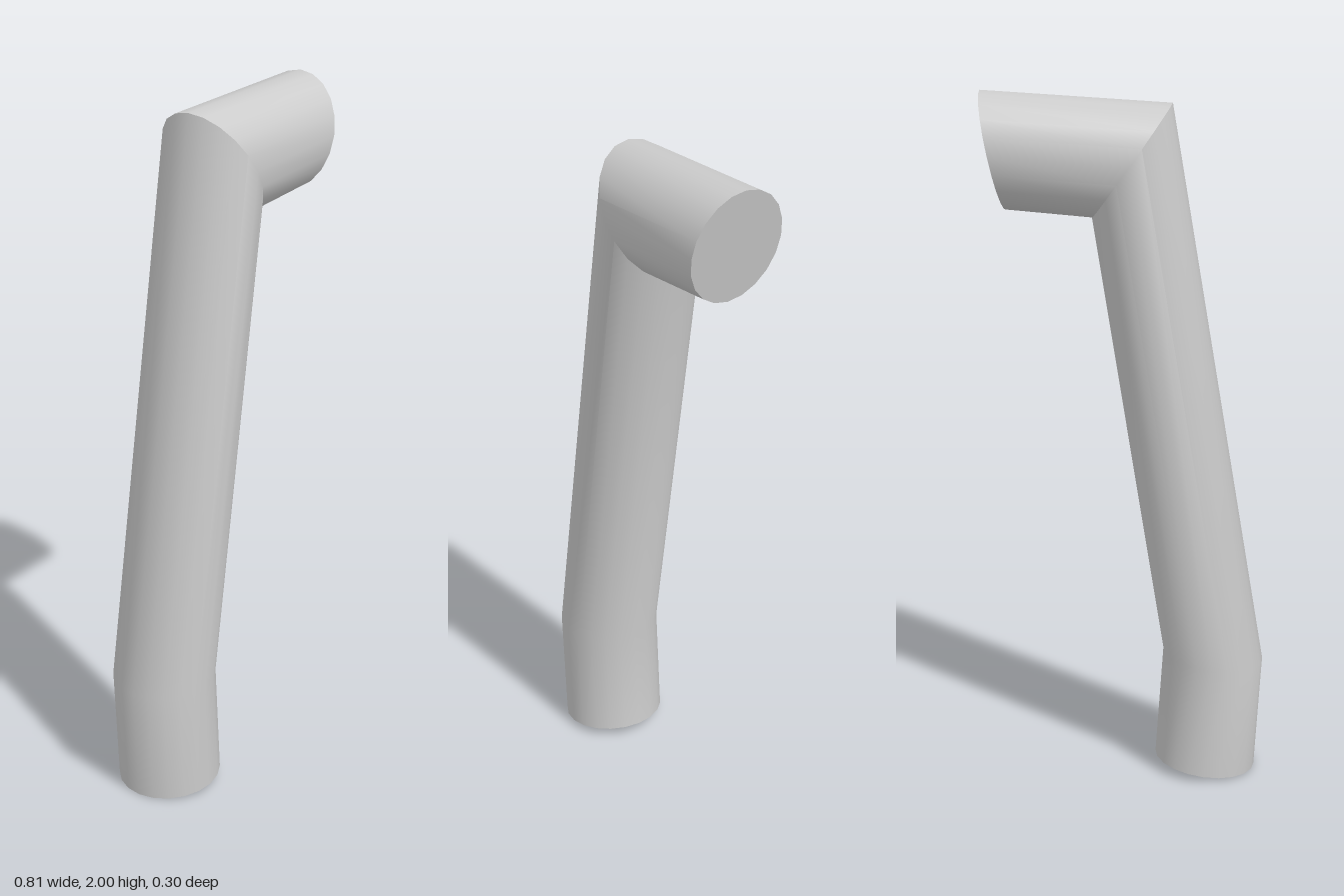
import * as THREE from 'three';
import { toCreasedNormals } from 'three/addons/utils/BufferGeometryUtils.js';

const SIDES = 20;

// Mitred cross-sections along the pipe: outer and inner edge points (x, y), half depth in z
const SECTIONS = [
  { outer: [-0.385, 0], inner: [-0.09, 0.035], depth: 0.15 },       // foot
  { outer: [-0.405, 0.34], inner: [-0.112, 0.365], depth: 0.15 },   // lower bend
  { outer: [-0.13, 1.968], inner: [0.095, 1.648], depth: 0.15 },    // elbow
  { outer: [0.405, 2], inner: [0.335, 1.668], depth: 0.141 },       // spout end
];

function pipeGeometry(sections) {
  const positions = [];
  const index = [];

  // Elliptical ring for each section
  for (const { outer, inner, depth } of sections) {
    const cx = (outer[0] + inner[0]) / 2;
    const cy = (outer[1] + inner[1]) / 2;
    for (let i = 0; i < SIDES; i++) {
      const a = (i / SIDES) * Math.PI * 2;
      positions.push(
        cx + (outer[0] - cx) * Math.cos(a),
        cy + (outer[1] - cy) * Math.cos(a),
        depth * Math.sin(a)
      );
    }
  }

  // Walls between neighbouring rings
  for (let s = 0; s < sections.length - 1; s++) {
    for (let i = 0; i < SIDES; i++) {
      const j = (i + 1) % SIDES;
      const a = s * SIDES + i, b = s * SIDES + j;
      index.push(a, b, b + SIDES, a, b + SIDES, a + SIDES);
    }
  }

  // Flat end caps
  const last = (sections.length - 1) * SIDES;
  for (let i = 1; i < SIDES - 1; i++) {
    index.push(0, i + 1, i);
    index.push(last, last + i, last + i + 1);
  }

  const geometry = new THREE.BufferGeometry();
  geometry.setAttribute('position', new THREE.Float32BufferAttribute(positions, 3));
  geometry.setIndex(index);
  return toCreasedNormals(geometry, Math.PI / 6);
}

export function createModel() {
  const group = new THREE.Group();
  group.name = 'bentPipe';
  const pipe = new THREE.Mesh(
    pipeGeometry(SECTIONS),
    new THREE.MeshStandardMaterial({ color: 0xcccccc })
  );
  pipe.name = 'pipe';
  group.add(pipe);
  return group;
}
